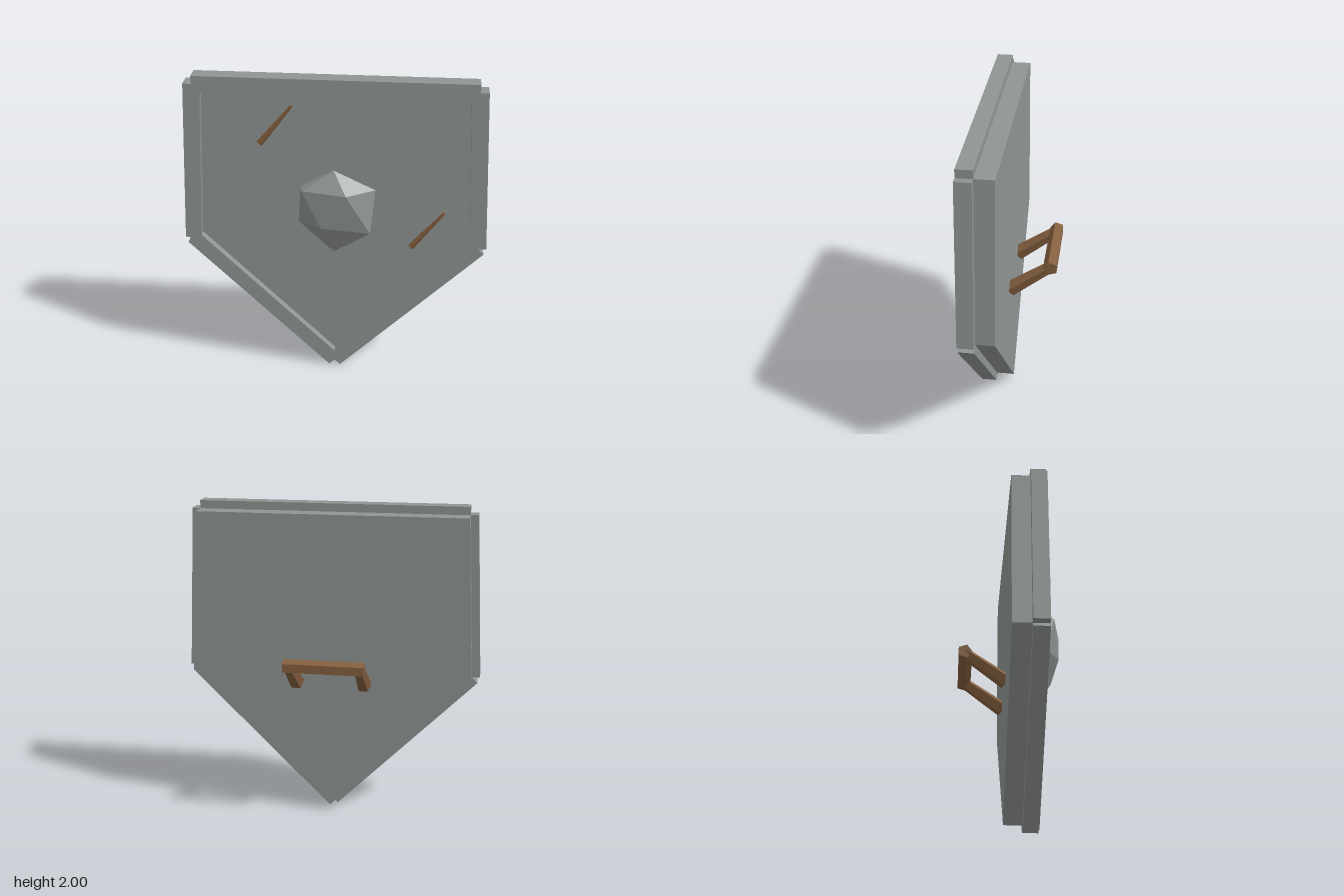
import * as THREE from 'three';
import { ConvexGeometry } from 'three/addons/geometries/ConvexGeometry.js';

const V = (x, y, z) => new THREE.Vector3(x, y, z);

export function createModel() {
  const group = new THREE.Group();
  group.name = 'shield';

  const stone = new THREE.MeshStandardMaterial({ color: 0x8f9593, flatShading: true });
  stone.name = 'grey stone';
  const wood = new THREE.MeshStandardMaterial({ color: 0x85603f, flatShading: true });
  wood.name = 'brown wood';

  const add = (name, geometry, material) => {
    const mesh = new THREE.Mesh(geometry, material);
    mesh.name = name;
    group.add(mesh);
    return mesh;
  };

  // Tapered five-sided wooden rod between two points
  const rod = (name, a, b, ra, rb) => {
    const mesh = add(name, new THREE.CylinderGeometry(rb, ra, a.distanceTo(b), 5), wood);
    mesh.position.copy(a).add(b).multiplyScalar(0.5);
    mesh.quaternion.setFromUnitVectors(V(0, 1, 0), b.clone().sub(a).normalize());
  };

  // Pentagonal plate, its front recessed halfway into the rim
  const corners = [[-0.835, 1.95], [-0.886, 0.926], [0, 0.037], [0.886, 0.926], [0.835, 1.95]];
  const outline = new THREE.Shape(corners.map(([x, y]) => new THREE.Vector2(x, y)));
  const plate = add('plate',
    new THREE.ExtrudeGeometry(outline, { depth: 0.165, bevelEnabled: false }), stone);
  plate.position.z = -0.035;

  // Square rim bars centred on each edge of the plate
  corners.forEach(([x0, y0], i) => {
    const [x1, y1] = corners[(i + 1) % corners.length];
    const length = Math.hypot(x1 - x0, y1 - y0);
    const bar = add('rimBar' + (i + 1), new THREE.BoxGeometry(length, 0.1, 0.098), stone);
    bar.position.set((x0 + x1) / 2, (y0 + y1) / 2, 0.129);
    bar.rotation.z = Math.atan2(y1 - y0, x1 - x0);
  });

  // Faceted boss in the middle of the front
  add('boss', new ConvexGeometry([
    V(0, 1.45, 0.223), V(0.08, 1.33, 0.329), V(-0.19, 1.33, 0.274), V(0.25, 1.33, 0.223),
    V(-0.07, 1.1, 0.309), V(0.225, 1.067, 0.288), V(-0.215, 1.1, 0.223), V(-0.205, 1.32, 0.185),
    V(0, 0.895, 0.223), V(0.1, 1.3, 0.06), V(-0.15, 1.3, 0.06), V(0.15, 1.1, 0.06), V(-0.15, 1.1, 0.06),
  ]), stone);

  // Two slim splinters on the front
  [[-0.445, 1.592], [0.473, 0.927]].forEach(([x, y], i) => {
    rod('splinter' + (i + 1), V(x, y, 0.177), V(x + 0.195, y + 0.246, 0.181), 0.022, 0.009);
  });

  // Carrying handle on the back
  for (const side of [-1, 1]) {
    rod(side < 0 ? 'rightHandleLeg' : 'leftHandleLeg',
      V(side * 0.215, 0.878, -0.034), V(side * 0.216, 1.058, -0.283), 0.05, 0.037);
  }
  rod('handleGrip', V(-0.248, 1.06, -0.285), V(0.248, 1.06, -0.285), 0.046, 0.046);

  return group;
}
